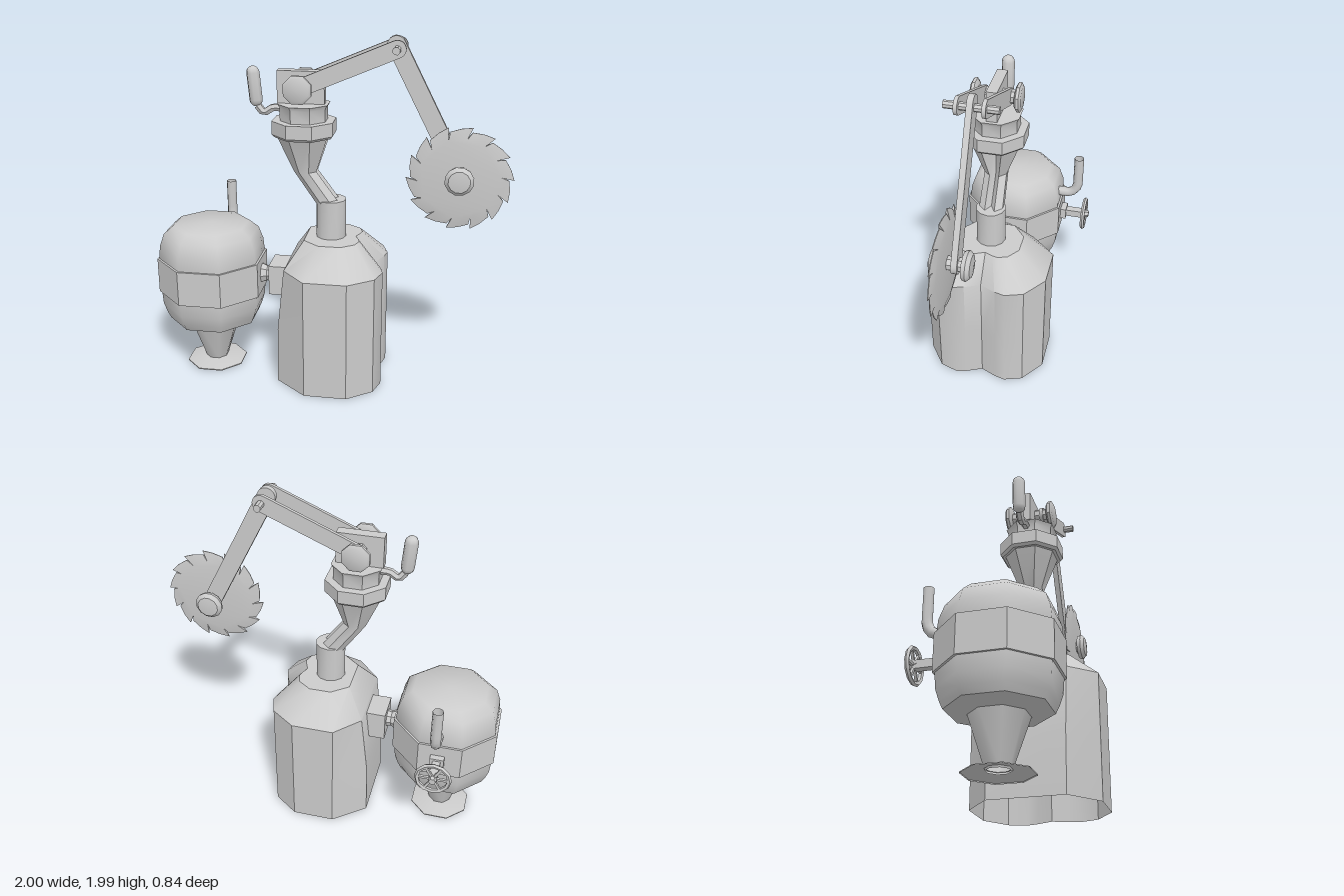
import * as THREE from 'three';
import { toCreasedNormals } from 'three/addons/utils/BufferGeometryUtils.js';

const mat = new THREE.MeshStandardMaterial({ color: 0xcccccc, side: THREE.DoubleSide });
const ZC = 0.065; // shared depth of the machine's axis

function add(parent, name, geo, x = 0, y = 0, z = 0, crease = 0.6) {
  const mesh = new THREE.Mesh(toCreasedNormals(geo, crease), mat);
  mesh.name = name;
  mesh.position.set(x, y, z);
  parent.add(mesh);
  return mesh;
}

// Skin over rings of [x, y, z] points, closed around, with optional top cap
function loft(rings, cap) {
  const n = rings[0].length, pos = rings.flat(2), idx = [];
  for (let r = 0; r < rings.length - 1; r++) {
    for (let i = 0; i < n; i++) {
      const a = r * n + i, b = r * n + (i + 1) % n;
      idx.push(a, a + n, b, b, a + n, b + n);
    }
  }
  if (cap) {
    const o = (rings.length - 1) * n;
    for (let i = 1; i < n - 1; i++) idx.push(o, o + i + 1, o + i);
  }
  const g = new THREE.BufferGeometry();
  g.setAttribute('position', new THREE.Float32BufferAttribute(pos, 3));
  g.setIndex(idx);
  return g;
}

// Octagonal turned part with flats on the axes; profile is [flat half-width, y]
function octLathe(profile) {
  const pts = profile.map(([r, y]) => new THREE.Vector2(r / Math.cos(Math.PI / 8), y));
  return new THREE.LatheGeometry(pts, 8).rotateY(Math.PI / 8);
}

// Turned part along z; profile is [radius, z]
function zLathe(profile, sides) {
  const pts = profile.map(([r, z]) => new THREE.Vector2(r, z));
  return new THREE.LatheGeometry(pts, sides).rotateY(Math.PI / sides).rotateX(Math.PI / 2);
}

// Round-ended flat bar between two points in the xy plane
function bar(a, b, half, depth) {
  const len = Math.hypot(b[0] - a[0], b[1] - a[1]);
  const s = new THREE.Shape();
  s.absarc(len, 0, half, -Math.PI / 2, Math.PI / 2, false);
  s.absarc(0, 0, half, Math.PI / 2, Math.PI * 1.5, false);
  const g = new THREE.ExtrudeGeometry(s, { depth, bevelEnabled: false, curveSegments: 5 });
  return g.translate(0, 0, -depth / 2).rotateZ(Math.atan2(b[1] - a[1], b[0] - a[0])).translate(a[0], a[1], 0);
}

function tube(points, r, sides, steps = 8) {
  const path = new THREE.CatmullRomCurve3(points.map(p => new THREE.Vector3(...p)), false, 'catmullrom', 0.3);
  return new THREE.TubeGeometry(path, steps, r, sides, false);
}

function buildBody(root) {
  const g = new THREE.Group();
  g.name = 'body';
  root.add(g);
  // Half outline from the left around the back to the notch, then mirrored in z
  const half = [[-0.28, -0.21], [-0.1, -0.355], [0.14, -0.355], [0.28, -0.255], [0.315, -0.15], [0.3, -0.09]];
  const outline = [...half, [0.26, 0], ...half.slice().reverse().map(([x, z]) => [x, -z])];
  const ring = (y, minX, s) => outline.map(([x, z]) => [0.02 + (Math.max(x, minX) - 0.02) * s, y, ZC + z * s]);
  add(g, 'shell', loft([ring(0, -0.28, 1), ring(0.33, -0.275, 1), ring(0.7, -0.235, 1), ring(0.85, -0.28, 0.52)], true), 0, 0, 0, 0.62);
  add(g, 'post', new THREE.CylinderGeometry(0.085, 0.085, 0.24, 12), 0.003, 0.95, ZC);

  // Bent neck widening upwards, grooved on its left side
  const neckRing = (x, y, r) => {
    const pts = [];
    for (let i = 0; i < 8; i++) {
      const t = Math.PI / 8 + i * Math.PI / 4;
      pts.push([x + r * 1.06 * Math.cos(t), y, ZC + r * 1.06 * Math.sin(t)]);
    }
    pts.push([x + r * 0.25, y, ZC]);
    return pts;
  };
  add(g, 'bentNeck', loft([neckRing(-0.005, 1.04, 0.07), neckRing(-0.14, 1.23, 0.065), neckRing(-0.15, 1.44, 0.145)], true), 0, 0, 0, 0.5);
  add(g, 'collar', octLathe([[0, 1.43], [0.155, 1.43], [0.168, 1.445], [0.168, 1.52], [0, 1.52]]), -0.147, 0, ZC);
  add(g, 'turntable', octLathe([[0.125, 1.52], [0.125, 1.59], [0.137, 1.612], [0, 1.612]]), -0.147, 0, ZC);

  // Control lever on the right side
  add(g, 'leverArm', tube([[-0.26, 1.58, ZC], [-0.32, 1.58, ZC], [-0.37, 1.55, ZC], [-0.405, 1.59, ZC]], 0.022, 6));
  const grip = add(g, 'leverGrip', new THREE.CapsuleGeometry(0.037, 0.15, 4, 8), -0.42, 1.695, ZC, 1);
  grip.rotation.z = 0.09;
}

function buildArm(root) {
  const g = new THREE.Group();
  g.name = 'arm';
  root.add(g);
  const shoulder = [-0.16, 1.705], elbow = [0.36, 1.925], wrist = [0.71, 1.237];
  add(g, 'shoulderBlock', new THREE.BoxGeometry(0.26, 0.18, 0.06), -0.16, 1.7, ZC);
  add(g, 'shoulderAxle', zLathe([[0.04, -0.13], [0.04, 0.13]], 8), ...shoulder, ZC);
  for (const s of [-1, 1]) {
    add(g, 'shoulderCap', zLathe([[0, -0.018], [0.065, -0.018], [0.082, -0.008], [0.082, 0.008], [0.065, 0.018], [0, 0.018]], 8), ...shoulder, ZC + s * 0.122);
    add(g, 'upperArmBar', bar(shoulder, elbow, 0.047, 0.02), 0, 0, ZC + s * 0.07);
  }
  add(g, 'elbowPin', zLathe([[0, -0.14], [0.021, -0.14], [0.021, 0.14], [0, 0.14]], 8), ...elbow, ZC);
  add(g, 'forearm', bar([0.35, 1.937], wrist, 0.05, 0.032), 0, 0, ZC);

  // Wrist hub with a rounded knob at each end
  add(g, 'wristAxle', zLathe([[0.038, -0.07], [0.038, 0.11]], 8), ...wrist, ZC + 0.01);
  const knob = [[0, -0.022], [0.075, -0.022], [0.08, 0], [0.06, 0.02], [0, 0.028]];
  add(g, 'frontKnob', zLathe(knob, 12), ...wrist, 0.172);
  add(g, 'backKnob', zLathe(knob, 12), ...wrist, 0.003).rotation.y = Math.PI;

  // Toothed saw blade, thinned to an edge at the rim
  const teeth = 14, shape = new THREE.Shape();
  for (let i = 0; i < teeth; i++) {
    for (const [t, r] of [[0, 0.265], [0.5, 0.277], [0.97, 0.29], [0.8, 0.222]]) {
      const a = -((i + t) / teeth) * Math.PI * 2;
      if (i === 0 && t === 0) shape.moveTo(r * Math.cos(a), r * Math.sin(a));
      else shape.lineTo(r * Math.cos(a), r * Math.sin(a));
    }
  }
  shape.closePath();
  const blade = new THREE.ExtrudeGeometry(shape, { depth: 0.028, bevelEnabled: false }).translate(0, 0, -0.014);
  const p = blade.attributes.position;
  for (let i = 0; i < p.count; i++) {
    if (Math.hypot(p.getX(i), p.getY(i)) > 0.24) p.setZ(i, p.getZ(i) * 0.15);
  }
  add(g, 'sawBlade', blade, ...wrist, 0.122);
}

function buildTank(root) {
  const g = new THREE.Group();
  g.name = 'tank';
  g.position.set(-0.705, 0, 0.06);
  root.add(g);
  add(g, 'vessel', octLathe([[0.14, 0.278], [0.245, 0.3], [0.262, 0.34], [0.28, 0.4], [0.285, 0.48], [0.285, 0.7],
    [0.28, 0.76], [0.255, 0.835], [0.205, 0.88], [0, 0.888]]), 0, 0, 0, 0.9);
  add(g, 'band', octLathe([[0.28, 0.48], [0.297, 0.48], [0.297, 0.685], [0.28, 0.685]]));
  add(g, 'leg', octLathe([[0.058, 0.015], [0.14, 0.28]]), 0, 0, 0, 0.9);
  add(g, 'foot', octLathe([[0.165, 0], [0.165, 0.006], [0.085, 0.024], [0.055, 0.026]]));

  // Coupling that joins the tank to the body
  add(g, 'couplingBlock', new THREE.BoxGeometry(0.15, 0.175, 0.18), 0.43, 0.578, 0);
  const pipe = new THREE.LatheGeometry([[0.06, 0], [0.055, 0.02], [0.045, 0.04], [0.055, 0.075]].map(q => new THREE.Vector2(...q)), 8);
  add(g, 'couplingPipe', pipe.rotateZ(-Math.PI / 2), 0.29, 0.585, 0);

  // Upright exhaust pipe behind
  const exhaust = [[0, 0.75, -0.24], [0, 0.75, -0.34], [0, 0.775, -0.38], [0, 0.82, -0.395], [0, 0.9, -0.395], [0, 1.015, -0.395]];
  add(g, 'exhaustPipe', tube(exhaust, 0.03, 8, 12), 0.02, 0, 0, 0.9);

  // Valve hand wheel
  const valve = new THREE.Group();
  valve.name = 'valve';
  valve.position.set(0.01, 0.585, -0.447);
  g.add(valve);
  add(valve, 'valveStem', new THREE.BoxGeometry(0.045, 0.045, 0.16), 0, 0, 0.08);
  add(valve, 'valveBase', new THREE.BoxGeometry(0.08, 0.07, 0.06), 0, 0, 0.145);
  add(valve, 'wheelHub', zLathe([[0, -0.03], [0.02, -0.03], [0.026, 0.02], [0, 0.02]], 6));
  add(valve, 'wheelRim', new THREE.TorusGeometry(0.092, 0.013, 5, 12));
  for (let i = 0; i < 3; i++) {
    add(valve, 'wheelSpoke', new THREE.BoxGeometry(0.18, 0.014, 0.014)).rotation.z = i * Math.PI / 3;
  }
}

export function createModel() {
  const root = new THREE.Group();
  root.name = 'sawMachine';
  buildBody(root);
  buildArm(root);
  buildTank(root);
  return root;
}
